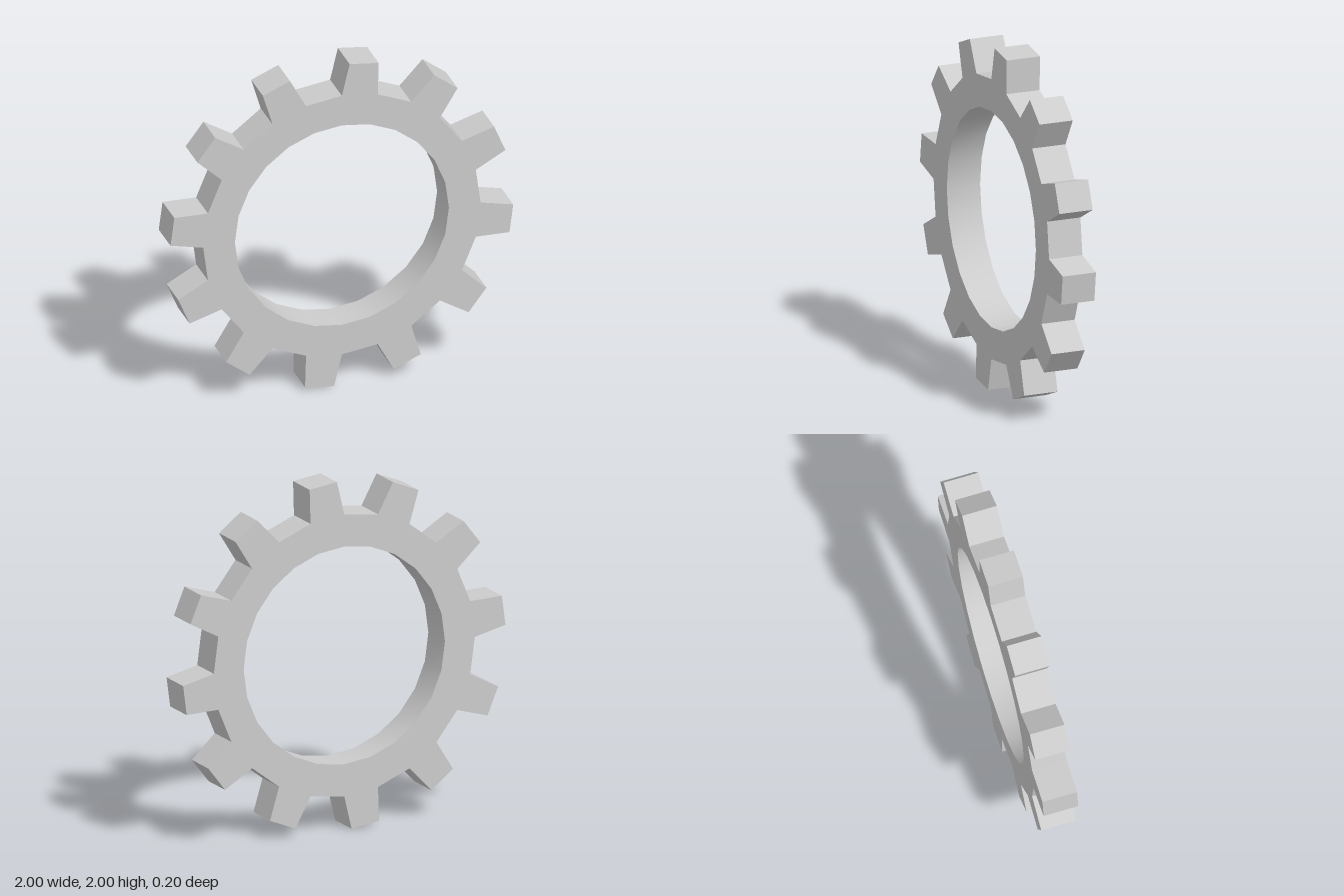
import * as THREE from 'three';
import { toCreasedNormals } from 'three/addons/utils/BufferGeometryUtils.js';

const TEETH = 12;
const ROOT_RADIUS = 0.81;
const TIP_RADIUS = 1.002;
const HOLE_RADIUS = 0.625;
const HOLE_SIDES = 24;
const THICKNESS = 0.2;

const polar = (radius, degrees) => {
  const a = THREE.MathUtils.degToRad(degrees);
  return new THREE.Vector2(radius * Math.cos(a), radius * Math.sin(a));
};

export function createModel() {
  const group = new THREE.Group();
  group.name = 'gear';

  // Toothed outline: each tooth spans half a pitch at the root and narrows in angle at the tip
  const outline = [];
  const pitch = 360 / TEETH;
  for (let i = 0; i < TEETH; i++) {
    const middle = (i + 0.75) * pitch;
    outline.push(
      polar(ROOT_RADIUS, middle - pitch / 4),
      polar(TIP_RADIUS, middle - 4.9),
      polar(TIP_RADIUS, middle + 4.9),
      polar(ROOT_RADIUS, middle + pitch / 4)
    );
  }
  const shape = new THREE.Shape(outline);

  // Round bore
  const bore = [];
  for (let i = 0; i < HOLE_SIDES; i++) bore.push(polar(HOLE_RADIUS, (-i * 360) / HOLE_SIDES));
  shape.holes.push(new THREE.Path(bore));

  // Flat ring, smooth inside the bore and sharp at the teeth
  const extruded = new THREE.ExtrudeGeometry(shape, { depth: THICKNESS, bevelEnabled: false });
  extruded.translate(0, 1, -THICKNESS / 2);
  const ring = new THREE.Mesh(
    toCreasedNormals(extruded, Math.PI / 6),
    new THREE.MeshStandardMaterial({ color: 0xcccccc })
  );
  ring.name = 'toothedRing';
  group.add(ring);

  return group;
}
